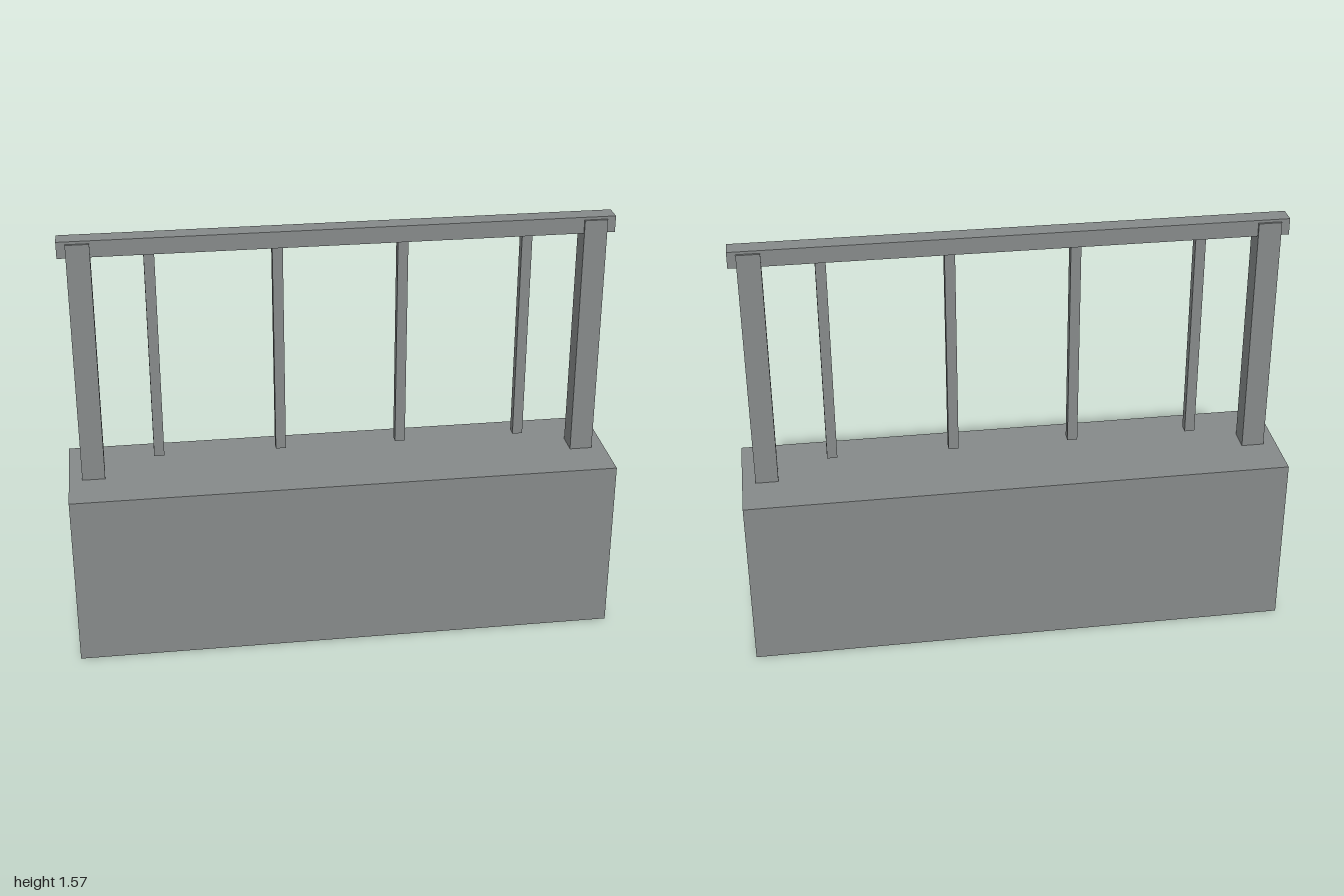
import * as THREE from 'three';

export function createModel() {
  const model = new THREE.Group();
  model.name = 'railingOnWall';

  const grey = new THREE.MeshStandardMaterial({ color: 0x868a8a });
  grey.name = 'concrete grey';

  // Box from its centre x, bottom and top heights, width and depth
  function block(name, x, bottom, top, width, depth) {
    const mesh = new THREE.Mesh(new THREE.BoxGeometry(width, top - bottom, depth), grey);
    mesh.name = name;
    mesh.position.set(x, (bottom + top) / 2, 0);
    model.add(mesh);
  }

  // Solid wall block
  block('wall', 0, 0, 0.655, 2, 0.435);

  // End posts, slightly deeper than the rail and just below its top
  for (const side of [-1, 1]) {
    block(side > 0 ? 'leftPost' : 'rightPost', side * 0.91, 0.655, 1.56, 0.083, 0.087);
  }

  // Handrail
  block('handrail', 0, 1.51, 1.57, 1.964, 0.07);

  // Thin balusters hang from the rail and stop short of the wall
  [-0.668, -0.222, 0.222, 0.668].forEach((x, i) => {
    block(`baluster${i + 1}`, x, 0.722, 1.51, 0.037, 0.037);
  });

  return model;
}
